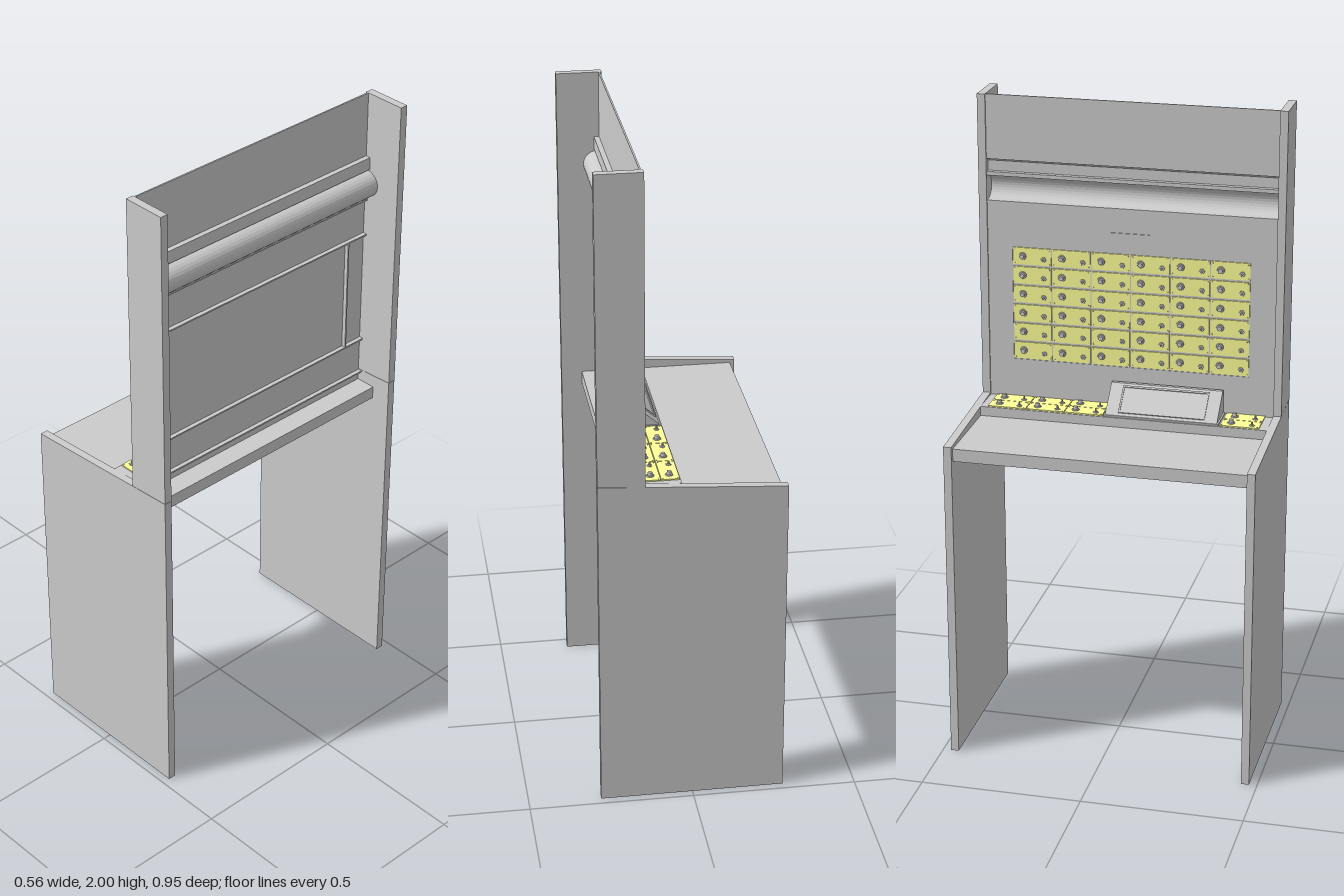
import * as THREE from 'three';

const grey = new THREE.MeshStandardMaterial({ color: 0xcccccc });
const yellow = new THREE.MeshStandardMaterial({ color: 0xffff99 });

function add(parent, name, geometry, material = grey) {
  const mesh = new THREE.Mesh(geometry, material);
  mesh.name = name;
  parent.add(mesh);
  return mesh;
}

// Box given by its minimum and maximum corners
function box(parent, name, [x0, y0, z0], [x1, y1, z1], material) {
  const g = new THREE.BoxGeometry(x1 - x0, y1 - y0, z1 - z0);
  g.translate((x0 + x1) / 2, (y0 + y1) / 2, (z0 + z1) / 2);
  return add(parent, name, g, material);
}

// Side-on (x, y) outline extruded from z0 to z1
function prism(parent, name, points, z0, z1) {
  const shape = new THREE.Shape(points.map(([x, y]) => new THREE.Vector2(x, y)));
  const g = new THREE.ExtrudeGeometry(shape, { depth: z1 - z0, bevelEnabled: false });
  g.translate(0, 0, z0);
  return add(parent, name, g);
}

// Yellow plate with a knob, a small switch and corner screws, facing +y
function controlModule() {
  const group = new THREE.Group();
  group.name = 'controlModule';
  box(group, 'modulePlate', [-0.027, 0, -0.06], [0.027, 0.004, 0.06], yellow);
  const disc = (name, r, h, x, z, sides) => {
    add(group, name, new THREE.CylinderGeometry(r * 0.9, r, h, sides)).position.set(x, 0.004 + h / 2, z);
  };
  disc('knobBase', 0.012, 0.003, 0, -0.03, 20);
  disc('knob', 0.0075, 0.012, 0, -0.03, 16);
  disc('switchCollar', 0.009, 0.002, -0.008, 0.036, 6);
  disc('switchLever', 0.003, 0.012, -0.008, 0.036, 8);
  for (const x of [-0.022, 0.022])
    for (const z of [-0.055, 0.055]) disc('screw', 0.002, 0.001, x, z, 6);
  return group;
}

export function createModel() {
  const model = new THREE.Group();
  model.name = 'controlDesk';

  // Side panels: a sloped-top lower panel with a narrow upright above
  for (const [side, z] of [['left', 0.45], ['right', -0.475]]) {
    prism(model, side + 'LowerPanel',
      [[-0.28, 0], [0.28, 0], [0.28, 1.055], [-0.28, 1.02]], z, z + 0.025);
    prism(model, side + 'Upright',
      [[0.14, 1.047], [0.28, 1.056], [0.28, 2], [0.14, 2]], z, z + 0.025);
  }

  // Desk slab and the raised deck that carries the modules
  box(model, 'deskTop', [-0.265, 0.97, -0.45], [0.215, 1.01, 0.45]);
  box(model, 'moduleDeck', [0.03, 1.01, -0.45], [0.15, 1.04, 0.45]);

  // Upper back sheet: header, recess and concave light trough
  const face = [[0.145, 2], [0.145, 1.8], [0.161, 1.8], [0.161, 1.76], [0.145, 1.76], [0.145, 1.748]];
  const rear = [[0.15, 2], [0.15, 1.795], [0.166, 1.795], [0.166, 1.755], [0.15, 1.755], [0.15, 1.752]];
  const steps = 14;
  for (let i = 0; i <= steps; i++) {
    const a = Math.PI / 2 - (Math.PI * i) / steps;
    const c = Math.cos(a), s = Math.sin(a);
    face.push([0.158 + 0.037 * c, 1.708 + 0.037 * s]);
    rear.push([0.158 + 0.042 * c, 1.708 + 0.042 * s]);
  }
  face.push([0.145, 1.67], [0.145, 1.53]);
  rear.push([0.15, 1.665], [0.15, 1.53]);
  prism(model, 'headerAndTrough', [...face, ...rear.reverse()], -0.45, 0.45);
  box(model, 'troughLip', [0.15, 1.65, -0.45], [0.162, 1.655, 0.45]);
  box(model, 'nameSlot', [0.142, 1.586, -0.06], [0.145, 1.594, 0.06]);

  // Frame strips around the module wall, with folded lips behind
  box(model, 'lowerStrip', [0.145, 1.04, -0.45], [0.15, 1.165, 0.45]);
  box(model, 'upperLip', [0.15, 1.53, -0.45], [0.163, 1.535, 0.45]);
  box(model, 'lowerLip', [0.15, 1.16, -0.45], [0.163, 1.165, 0.45]);
  box(model, 'bottomLip', [0.15, 1.04, -0.45], [0.163, 1.045, 0.45]);
  for (const s of [-1, 1]) {
    const span = (a, b) => [Math.min(s * a, s * b), Math.max(s * a, s * b)];
    const [a, b] = span(0.372, 0.45);
    box(model, 'sideStrip', [0.145, 1.165, a], [0.15, 1.53, b]);
    const [c, d] = span(0.372, 0.377);
    box(model, 'sideLip', [0.15, 1.165, c], [0.163, 1.53, d]);
  }
  box(model, 'wallBacking', [0.147, 1.165, -0.372], [0.15, 1.53, 0.372]);

  // Six by six wall of modules facing the operator
  for (let row = 0; row < 6; row++)
    for (let col = 0; col < 6; col++) {
      const m = controlModule();
      m.rotation.z = Math.PI / 2;
      m.position.set(0.147, 1.195 + row * 0.061, -0.31 + col * 0.124);
      model.add(m);
    }

  // Paired modules on the deck
  for (const z of [-0.367, -0.245, -0.123, 0.365])
    for (const x of [0.06, 0.116]) {
      const m = controlModule();
      m.position.set(x, 1.04, z);
      model.add(m);
    }

  // Wedge-shaped display with a sunken screen
  const display = new THREE.Group();
  display.name = 'display';
  model.add(display);
  box(display, 'displayBase', [0.034, 1.04, -0.06], [0.142, 1.045, 0.3]);
  prism(display, 'displayHousing',
    [[0.038, 1.045], [0.137, 1.045], [0.137, 1.12], [0.125, 1.12]], -0.055, 0.295);
  const slope = new THREE.Group();
  slope.name = 'displayFace';
  slope.position.set(0.0815, 1.0825, 0.12);
  slope.rotation.z = Math.atan2(0.075, 0.087);
  display.add(slope);
  box(slope, 'screen', [-0.042, 0, -0.13], [0.042, 0.001, 0.13]);
  for (const s of [-1, 1]) {
    box(slope, 'bezelRail', [s * 0.045 - 0.003, 0, -0.135], [s * 0.045 + 0.003, 0.004, 0.135]);
    box(slope, 'bezelEnd', [-0.042, 0, s * 0.1325 - 0.0025], [0.042, 0.004, s * 0.1325 + 0.0025]);
  }
  return model;
}
